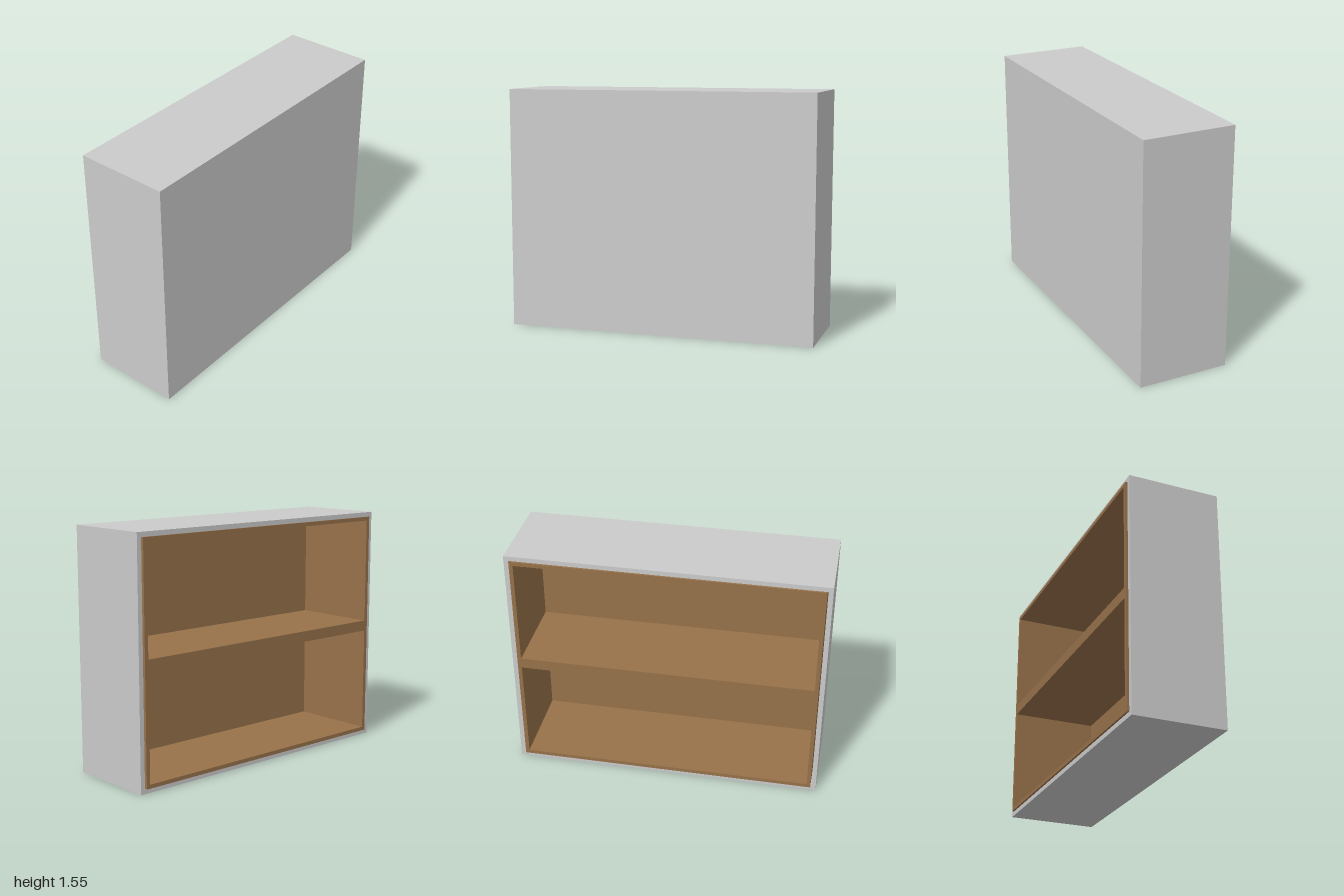
import * as THREE from 'three';

export function createModel() {
  const model = new THREE.Group();
  model.name = 'shelfUnit';
  const grey = new THREE.MeshStandardMaterial({ color: 0xcccccc });
  const wood = new THREE.MeshStandardMaterial({ color: 0x98724a });

  // Box given by its lower and upper corners
  function box(name, material, [x0, y0, z0], [x1, y1, z1], parent) {
    const mesh = new THREE.Mesh(new THREE.BoxGeometry(x1 - x0, y1 - y0, z1 - z0), material);
    mesh.position.set((x0 + x1) / 2, (y0 + y1) / 2, (z0 + z1) / 2);
    mesh.name = name;
    parent.add(mesh);
  }

  // Open-sided case facing -x: back, floor, top and two end panels
  function openCase(name, material, x0, x1, y0, y1, z, wall, back) {
    const group = new THREE.Group();
    group.name = name;
    const xb = x1 - back;
    box(name + 'Back', material, [xb, y0, -z], [x1, y1, z], group);
    box(name + 'Floor', material, [x0, y0, -z], [xb, y0 + wall, z], group);
    box(name + 'Top', material, [x0, y1 - wall, -z], [xb, y1, z], group);
    for (const s of [-1, 1]) {
      const ends = [s * z, s * (z - wall)].sort((a, b) => a - b);
      box(name + (s < 0 ? 'RearEnd' : 'FrontEnd'), material,
        [x0, y0 + wall, ends[0]], [xb, y1 - wall, ends[1]], group);
    }
    model.add(group);
    return group;
  }

  // Outer shell and the wooden lining that stands slightly proud of it
  openCase('shell', grey, -0.29, 0.3, 0, 1.55, 1, 0.03, 0.015);
  const lining = openCase('lining', wood, -0.302, 0.285, 0.03, 1.52, 0.965, 0.025, 0.02);

  // Middle shelf
  box('shelf', wood, [-0.302, 0.74, -0.94], [0.265, 0.81, 0.94], lining);

  return model;
}
